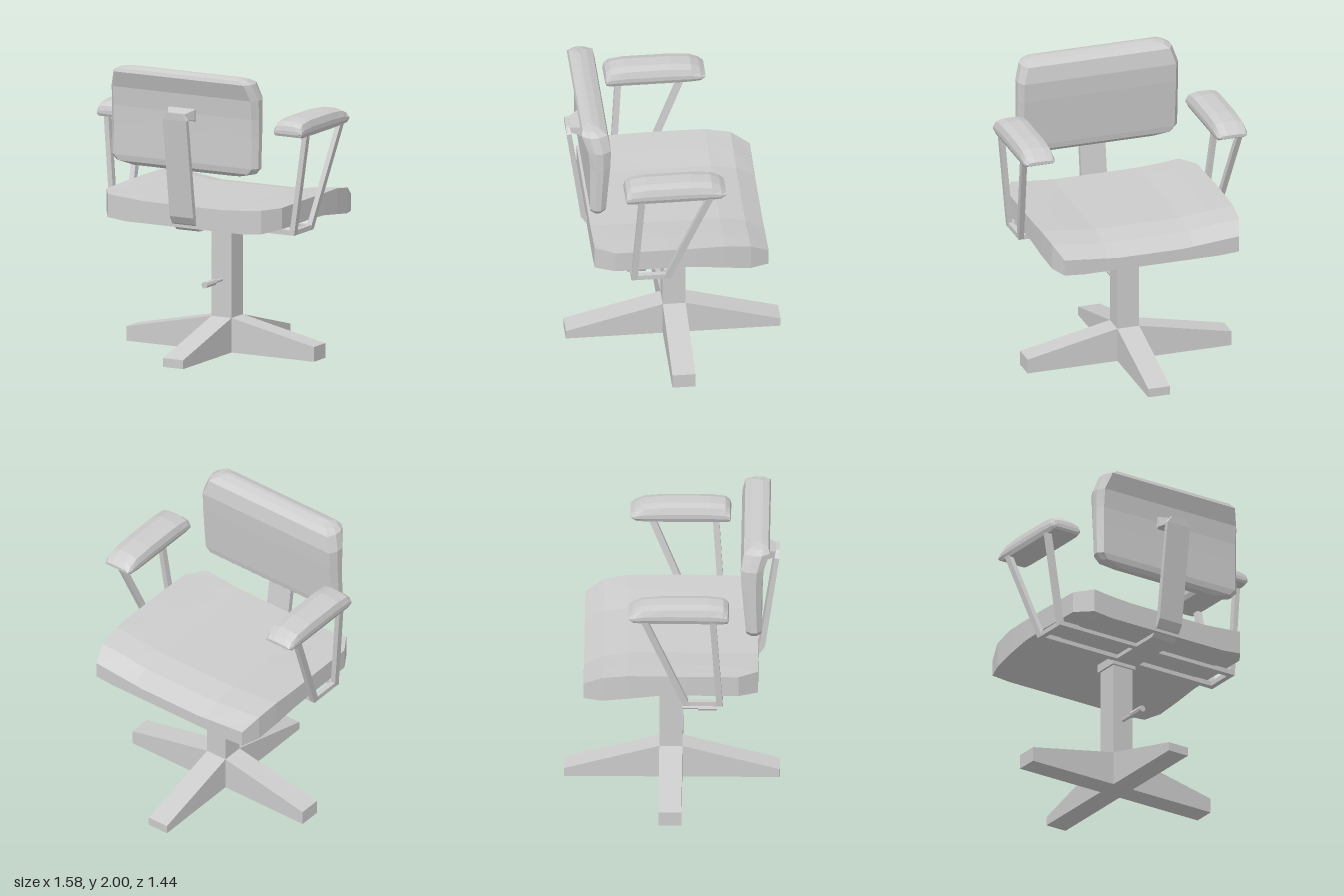
import * as THREE from 'three';

const material = new THREE.MeshStandardMaterial({ color: 0xcccccc, flatShading: true });

function addMesh(parent, name, geometry) {
  const mesh = new THREE.Mesh(geometry, material);
  mesh.name = name;
  parent.add(mesh);
  return mesh;
}

function addBox(parent, name, [x0, x1], [y0, y1], [z0, z1]) {
  const mesh = addMesh(parent, name, new THREE.BoxGeometry(x1 - x0, y1 - y0, z1 - z0));
  mesh.position.set((x0 + x1) / 2, (y0 + y1) / 2, (z0 + z1) / 2);
  return mesh;
}

// Skin a row of equal-length cross-sections and close both ends.
function loft(sections) {
  const n = sections[0].length;
  const points = sections.flat();
  const index = [];
  for (let s = 0; s < sections.length - 1; s++) {
    for (let i = 0; i < n; i++) {
      const a = s * n + i, b = s * n + (i + 1) % n;
      index.push(a, b, b + n, a, b + n, a + n);
    }
  }
  const cap = (s, reverse) => {
    const mid = [0, 1, 2].map(k => sections[s].reduce((sum, p) => sum + p[k], 0) / n);
    points.push(mid);
    for (let i = 0; i < n; i++) {
      const a = s * n + i, b = s * n + (i + 1) % n;
      index.push(points.length - 1, ...(reverse ? [b, a] : [a, b]));
    }
  };
  cap(0, true);
  cap(sections.length - 1, false);

  // Turn all faces outward if the enclosed volume comes out negative.
  const v = points.map(p => new THREE.Vector3(...p));
  let volume = 0;
  for (let i = 0; i < index.length; i += 3) {
    volume += v[index[i]].dot(v[index[i + 1]].clone().cross(v[index[i + 2]]));
  }
  if (volume < 0) index.reverse();
  const geometry = new THREE.BufferGeometry().setFromPoints(v);
  geometry.setIndex(index);
  geometry.computeVertexNormals();
  return geometry;
}

// Square bar swept between two points, with level ends.
function post(bottom, top, width, depth) {
  const ring = ([x, y, z]) => [[-1, -1], [1, -1], [1, 1], [-1, 1]]
    .map(([i, k]) => [x + i * width / 2, y, z + k * depth / 2]);
  return loft([ring(bottom), ring(top)]);
}

// Side profile given as [z, y] points, extruded across x.
function sideProfile(points, width) {
  const section = x => points.map(([z, y]) => [x, y, z]);
  return loft([section(-width / 2), section(width / 2)]);
}

export function createModel() {
  const model = new THREE.Group();
  model.name = 'swivelArmchair';

  // Four tapering feet and the square column
  const base = new THREE.Group();
  base.name = 'base';
  base.position.set(-0.007, 0, -0.007);
  model.add(base);
  const feet = [[0, 0.727, 0.06], [1, 0.71, 0.1], [2, 0.713, 0.06], [3, 0.73, 0.1]];
  for (const [turn, reach, tip] of feet) {
    const foot = addMesh(base, 'foot', sideProfile(
      [[0, 0], [reach, 0], [reach, tip], [0.077, 0.235], [0, 0.235]], 0.154));
    foot.rotation.y = turn * Math.PI / 2;
  }
  addBox(base, 'column', [-0.077, 0.077], [0.07, 0.95], [-0.077, 0.077]);
  addBox(base, 'columnCollar', [-0.092, 0.092], [0.88, 0.94], [-0.092, 0.092]);

  // Height lever with a thicker grip
  for (const [name, radius, z0, z1] of [['leverRod', 0.012, 0.06, 0.2], ['leverGrip', 0.023, 0.175, 0.3]]) {
    const rod = addMesh(model, name, new THREE.CylinderGeometry(radius, radius, z1 - z0, 8));
    rod.rotation.x = Math.PI / 2;
    rod.position.set(-0.007, 0.49, (z0 + z1) / 2);
  }

  // Dished seat: z, half width, top edge, top middle, bottom edge, bottom middle
  const seat = [
    [0.58, 0.59, 1.105, 1.08, 0.945, 0.93],
    [0.45, 0.675, 1.11, 1.08, 0.965, 0.93],
    [0.1, 0.68, 1.115, 1.08, 0.97, 0.935],
    [-0.1, 0.68, 1.115, 1.08, 0.965, 0.938],
    [-0.29, 0.675, 1.115, 1.08, 0.94, 0.915],
    [-0.46, 0.66, 1.09, 1.05, 0.915, 0.89],
    [-0.585, 0.615, 1.02, 0.985, 0.91, 0.9],
  ].map(([z, w, te, tm, be, bm]) => [
    [-w, te, z], [-0.5, tm + (te - tm) * 0.6, z], [-0.3, tm, z], [0.3, tm, z], [0.5, tm + (te - tm) * 0.6, z], [w, te, z],
    [w, be, z], [w - 0.14, bm, z], [-w + 0.14, bm, z], [-w, be, z],
  ]);
  addMesh(model, 'seat', loft(seat));

  // Padded backrest: y, half width, inner face z, outer face z
  const backrest = [
    [1.32, 0.42, 0.53, 0.575],
    [1.345, 0.53, 0.505, 0.598],
    [1.385, 0.565, 0.498, 0.605],
    [1.6, 0.565, 0.48, 0.604],
    [1.72, 0.565, 0.47, 0.606],
    [1.85, 0.565, 0.464, 0.618],
    [1.96, 0.53, 0.485, 0.657],
    [1.985, 0.49, 0.53, 0.648],
    [2.0, 0.42, 0.58, 0.605],
  ].map(([y, w, zi, zo]) => {
    const d = zo - zi;
    const half = [[w - 0.03, zi], [w, zi + d * 0.35], [w, zo - d * 0.3], [w - 0.035, zo]];
    return [...half.map(([x, z]) => [x, y, z]), ...half.reverse().map(([x, z]) => [-x, y, z])];
  });
  addMesh(model, 'backrest', loft(backrest));

  // Bent support strap with a chamfered head, running under the seat
  const strap = [
    [0.09, 0.905, 0, 0.93, 0],
    [0.09, 0.905, 0.53, 0.935, 0.52],
    [0.09, 0.96, 0.59, 0.965, 0.56],
    [0.09, 1.01, 0.622, 1.015, 0.585],
    [0.09, 1.685, 0.717, 1.69, 0.685],
    [0.055, 1.735, 0.72, 1.735, 0.695],
  ].map(([w, yo, zo, yi, zi]) => [[-w, yo, zo], [w, yo, zo], [w, yi, zi], [-w, yi, zi]]);
  addMesh(model, 'backSupport', loft(strap));

  // Tapered bracket joining strap and backrest
  const bracket = [[0.105, 1.665, 1.755, 0.598], [0.1, 1.68, 1.75, 0.625], [0.06, 1.69, 1.725, 0.7]]
    .map(([w, y0, y1, z]) => [[-w, y0, z], [w, y0, z], [w, y1, z], [-w, y1, z]]);
  addMesh(model, 'backBracket', loft(bracket));

  // Cross rails carrying the arm frames
  for (const z of [0.325, 0.1]) {
    addBox(model, 'armRail', [-0.7, 0.7], [0.905, 0.938], [z - 0.02, z + 0.02]);
  }

  // Armrests: z, bottom y, top y, half width of the pad
  const pad = [
    [0.388, 1.6, 1.625, 0.095],
    [0.38, 1.583, 1.655, 0.108],
    [0.35, 1.578, 1.683, 0.11],
    [0.25, 1.578, 1.698, 0.11],
    [-0.05, 1.578, 1.698, 0.11],
    [-0.19, 1.58, 1.685, 0.11],
    [-0.25, 1.585, 1.655, 0.108],
    [-0.285, 1.603, 1.625, 0.095],
  ].map(([z, y0, y1, w]) => {
    const h = y1 - y0;
    const half = [[w - 0.012, y0], [w, y0 + h * 0.25], [w, y0 + h * 0.5], [w - 0.015, y1 - h * 0.13], [w * 0.4, y1]];
    return [...half.map(([x, y]) => [x, y, z]), ...half.reverse().map(([x, y]) => [-x, y, z])];
  });
  for (const [side, name] of [[1, 'leftArm'], [-1, 'rightArm']]) {
    const arm = new THREE.Group();
    arm.name = name;
    model.add(arm);
    addMesh(arm, 'armPad', loft(pad)).position.x = side * 0.68;
    addMesh(arm, 'rearPost', post([side * 0.69, 0.905, 0.325], [side * 0.765, 1.6, 0.28], 0.036, 0.042));
    addMesh(arm, 'frontPost', post([side * 0.69, 0.905, 0.105], [side * 0.765, 1.6, -0.18], 0.036, 0.046));
    const x = side * 0.69;
    addBox(arm, 'lowerBar', [x - 0.018, x + 0.018], [0.905, 0.938], [0.1, 0.345]);
  }

  return model;
}
